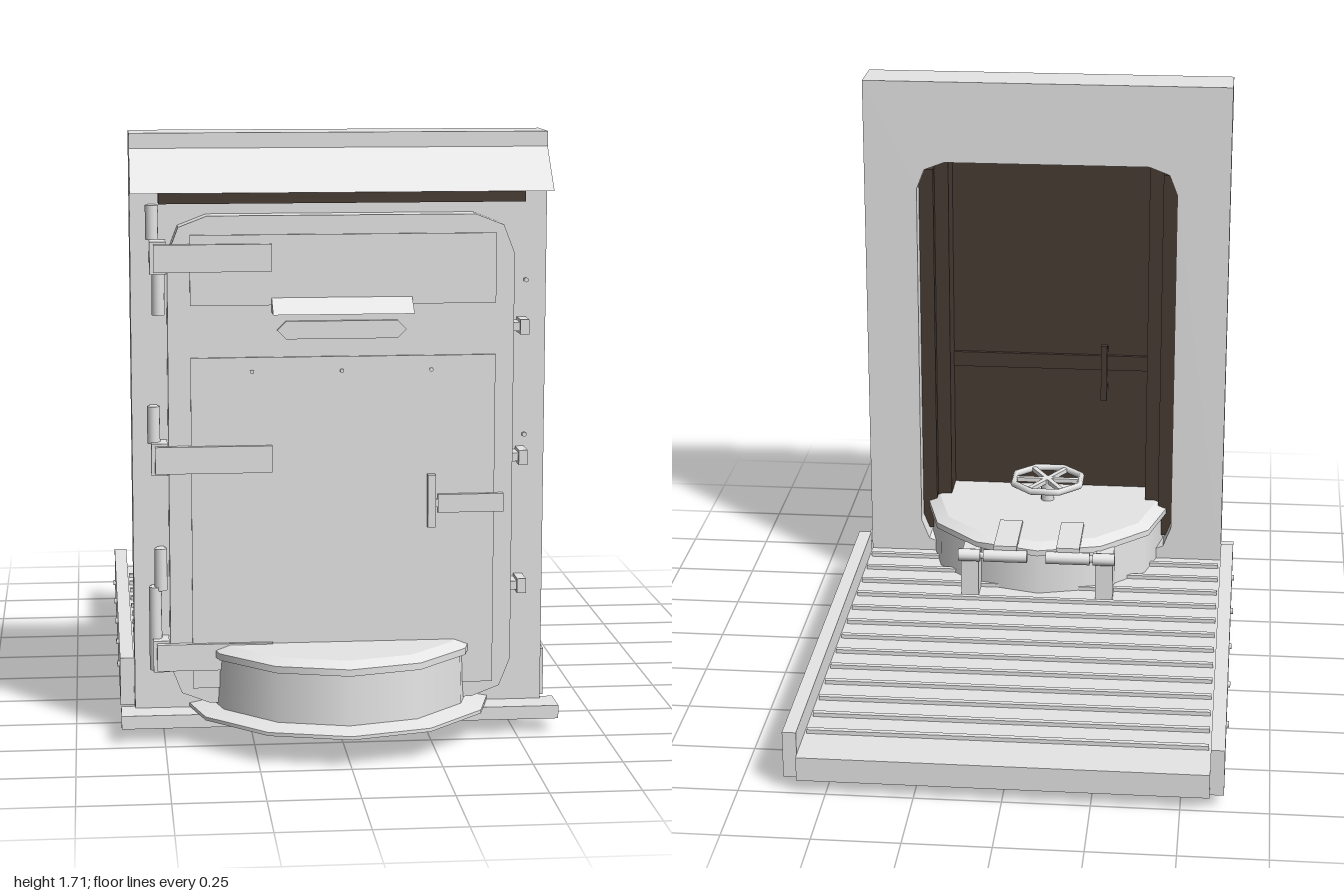
import * as THREE from 'three';

export function createModel() {
  const root = new THREE.Group();
  const steel = new THREE.MeshStandardMaterial({ color: 0xe6e6e6 });
  steel.name = 'steel grey';
  const brown = new THREE.MeshStandardMaterial({ color: 0x483b33 });
  brown.name = 'dark brown';

  const add = (name, geometry, material = steel) => {
    const mesh = new THREE.Mesh(geometry, material);
    mesh.name = name;
    root.add(mesh);
    return mesh;
  };
  // box given by its limits on each axis
  const box = (name, x0, x1, y0, y1, z0, z1, material) => {
    const m = add(name, new THREE.BoxGeometry(x1 - x0, y1 - y0, z1 - z0), material);
    m.position.set((x0 + x1) / 2, (y0 + y1) / 2, (z0 + z1) / 2);
    return m;
  };
  const cylinder = (name, r, length, x, y, z, axis = 'y', sides = 12) => {
    const m = add(name, new THREE.CylinderGeometry(r, r, length, sides));
    if (axis === 'x') m.rotation.z = Math.PI / 2;
    if (axis === 'z') m.rotation.x = Math.PI / 2;
    m.position.set(x, y, z);
    return m;
  };
  // rectangle outline with two-step cut corners
  const outline = (hw, y0, y1, c) => {
    const pts = [];
    const corner = (sx, sy, flip) => {
      const x = sx * hw, y = sy > 0 ? y1 : y0;
      const p = [[x, y - sy * c], [x - sx * c * 0.28, y - sy * c * 0.28], [x - sx * c, y]];
      pts.push(...(flip ? p.reverse() : p));
    };
    corner(1, 1, false);
    corner(-1, 1, true);
    corner(-1, -1, false);
    corner(1, -1, true);
    return pts.map(p => new THREE.Vector2(...p));
  };
  const slab = (points, z0, z1, hole) => {
    const shape = new THREE.Shape(points);
    if (hole) shape.holes.push(new THREE.Path(hole));
    return new THREE.ExtrudeGeometry(shape, { depth: z1 - z0, bevelEnabled: false }).translate(0, 0, z0);
  };
  // prism along x from a (z, y) section
  const prism = (name, halfWidth, section) => {
    const shape = new THREE.Shape(section.map(([z, y]) => new THREE.Vector2(-z, y)));
    const g = new THREE.ExtrudeGeometry(shape, { depth: 2 * halfWidth, bevelEnabled: false });
    return add(name, g.translate(0, 0, -halfWidth).rotateY(Math.PI / 2));
  };

  // wall with doorway
  const v = (x, y) => new THREE.Vector2(x, y);
  const opening = outline(0.415, 0.13, 1.45, 0.09);
  add('wall', slab([v(-0.582, 0.08), v(0.582, 0.08), v(0.582, 1.71), v(-0.582, 1.71)], 0.478, 0.63, opening));
  prism('rainHood', 0.582, [[0.63, 1.668], [0.745, 1.553], [0.63, 1.553]]);
  box('hoodSeal', -0.505, 0.505, 1.523, 1.553, 0.65, 0.73, brown);

  // door leaf, hollow behind, with a stepped lining
  const leaf = outline(0.482, 0.11, 1.487, 0.11);
  add('doorRim', slab(leaf, 0.63, 0.69, opening));
  add('doorFace', slab(leaf, 0.687, 0.697));
  add('doorBack', slab(opening, 0.682, 0.686), brown);
  for (const s of [-1, 1]) {
    const lining = (name, x, width, y0, y1, z0) =>
      box(name, s * x - width / 2, s * x + width / 2, y0, y1, z0, 0.685, brown);
    lining('doorLining', 0.393, 0.048, 0.17, 1.41, 0.535);
    lining('doorLiningStep', 0.347, 0.046, 0.14, 1.44, 0.57);
  }
  box('innerRail', -0.33, 0.33, 0.7, 0.75, 0.67, 0.683, brown);
  box('innerHandle', -0.19, -0.17, 0.61, 0.8, 0.62, 0.64, brown);
  for (const y of [0.64, 0.77]) box('innerHandlePost', -0.19, -0.17, y - 0.012, y + 0.012, 0.635, 0.683, brown);

  // raised door panels and viewing slot
  box('upperPanel', -0.42, 0.43, 1.24, 1.435, 0.694, 0.704);
  box('lowerPanel', -0.42, 0.43, 0.155, 1.095, 0.694, 0.704);
  add('viewSlot', slab([v(-0.18, 1.17), v(-0.155, 1.145), v(0.155, 1.145), v(0.18, 1.17),
    v(0.155, 1.195), v(-0.155, 1.195)], 0.69, 0.708));
  prism('slotVisor', 0.195, [[0.697, 1.265], [0.765, 1.22], [0.697, 1.22]]);
  for (const x of [-0.25, 0, 0.25]) cylinder('panelBolt', 0.006, 0.008, x, 1.055, 0.704, 'z', 6);

  // hinges on one side, clamps on the other
  for (const y of [0.247, 0.81, 1.372]) {
    box('hingeStrap', -0.52, -0.195, y - 0.038, y + 0.038, 0.695, 0.715);
    box('hingePlate', -0.53, -0.485, y - 0.045, y + 0.045, 0.63, 0.697);
  }
  for (const [y0, y1, x] of [[1.42, 1.515, -0.522], [1.21, 1.33, -0.506], [0.85, 0.955, -0.522],
    [0.43, 0.55, -0.506], [0.3, 0.44, -0.522], [0.2, 0.39, -0.522]]) {
    cylinder('hingePin', 0.018, y1 - y0, x, (y0 + y1) / 2, 0.655);
    box('hingePinMount', x - 0.01, x + 0.01, y0, y1, 0.63, 0.655);
  }
  for (const y of [0.43, 0.8, 1.17]) {
    box('clampArm', 0.48, 0.51, y - 0.012, y + 0.012, 0.63, 0.69);
    box('clampHead', 0.5, 0.525, y - 0.021, y + 0.021, 0.63, 0.7);
  }
  for (const y of [0.855, 1.295]) cylinder('wallBolt', 0.007, 0.012, 0.525, y, 0.634, 'z', 6);

  // outer handle
  box('handleBase', 0.27, 0.455, 0.65, 0.702, 0.7, 0.716);
  box('handleArm', 0.255, 0.275, 0.665, 0.688, 0.702, 0.712);
  box('handleGrip', 0.24, 0.262, 0.61, 0.76, 0.705, 0.728);

  // ribbed floor with side boards and skids
  box('floor', -0.582, 0.582, 0.04, 0.112, -1, 0.478);
  for (let i = 0; i < 13; i++) {
    const z = -0.845 + i * 0.105;
    box('floorRib', -0.575, 0.575, 0.11, 0.124, z - 0.008, z + 0.008);
  }
  for (const s of [-1, 1]) {
    const board = box('sideBoard', -0.02, 0.02, 0.04, 0.18, -0.98, 0.455);
    board.position.x = s * 0.602;
    for (const z of [0.31, 0.055, -0.2, -0.46, -0.715]) cylinder('boardBolt', 0.009, 0.02, s * 0.619, 0.125, z, 'x', 6);
    box('skid', s * 0.31 - 0.022, s * 0.31 + 0.022, 0, 0.045, -0.825, 0.5);
  }

  // sill and floor hinge knuckles
  box('sill', -0.622, 0.622, 0.042, 0.08, 0.61, 0.71);
  for (const x of [-0.45, -0.15, 0.15, 0.45]) {
    cylinder('floorHinge', 0.034, 0.16, x, 0.078, 0.56, 'x');
    box('floorHingeLeaf', x - 0.06, x + 0.06, 0.05, 0.075, 0.47, 0.62);
  }

  // twelve-sided hatch, open underneath
  const ring = (name, y0, y1, r0, r1, open = false) => {
    const m = add(name, new THREE.CylinderGeometry(r1, r0, y1 - y0, 12, 1, open));
    m.position.set(0, (y0 + y1) / 2, 0.55);
  };
  const lathe = (name, points) => {
    const m = add(name, new THREE.LatheGeometry(points.map(p => v(...p)), 12));
    m.position.z = 0.55;
  };
  lathe('hatchFlangeUnder', [[0.372, 0.082], [0.449, 0.082]]);
  ring('hatchFlangeEdge', 0.082, 0.092, 0.449, 0.449, true);
  ring('hatchFlange', 0.092, 0.104, 0.449, 0.388, true);
  ring('hatchBody', 0.1, 0.254, 0.388, 0.383, true);
  lathe('hatchInside', [[0.372, 0.253], [0.372, 0.082]]);
  ring('hatchLidEdge', 0.247, 0.266, 0.4, 0.4);
  ring('hatchLid', 0.266, 0.281, 0.4, 0.36);

  // hatch hinges
  for (const s of [-1, 1]) {
    box('hatchStrap', s * 0.1 - 0.037, s * 0.1 + 0.037, 0.277, 0.291, 0.12, 0.335);
    cylinder('hatchHinge', 0.02, 0.14, s * 0.1, 0.255, 0.125, 'x');
    cylinder('hatchHingeEnd', 0.02, 0.07, s * 0.215, 0.255, 0.125, 'x');
    cylinder('hatchHingePin', 0.011, 0.2, s * 0.14, 0.255, 0.125, 'x', 6);
    box('hatchBracket', s * 0.215 - 0.028, s * 0.215 + 0.028, 0.11, 0.25, 0.13, 0.24);
  }

  // handwheel
  const wheel = add('handwheel', new THREE.TorusGeometry(0.118, 0.011, 6, 8).rotateZ(Math.PI / 8));
  wheel.rotation.x = Math.PI / 2;
  wheel.position.set(0, 0.35, 0.55);
  cylinder('wheelStem', 0.022, 0.08, 0, 0.315, 0.55);
  for (let i = 0; i < 3; i++) {
    const spoke = box('wheelSpoke', -0.11, 0.11, 0.343, 0.357, 0.542, 0.558);
    spoke.rotation.y = i * Math.PI / 3;
  }
  return root;
}
